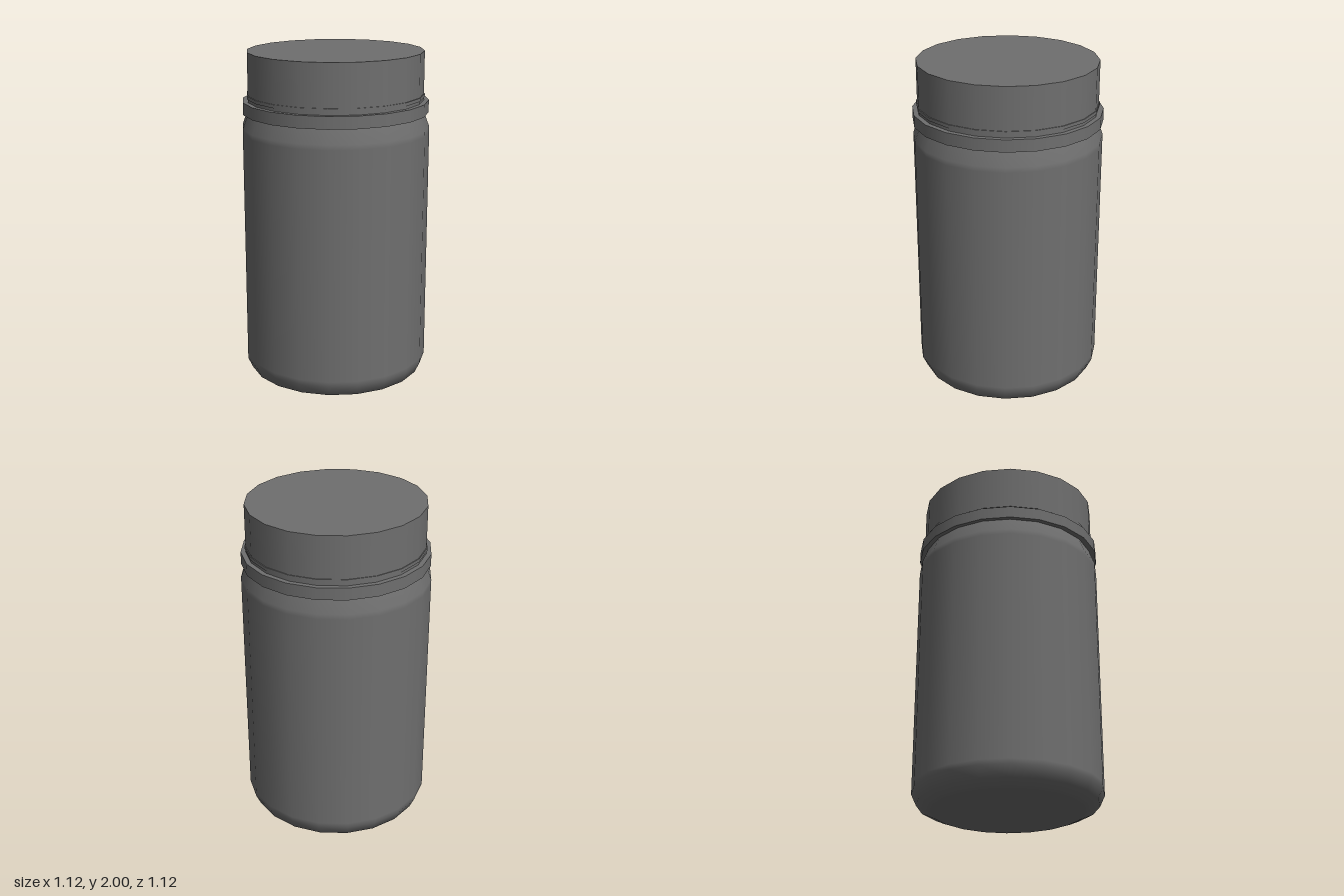
import * as THREE from 'three';

const SIDES = 20;

export function createModel() {
  const jar = new THREE.Group();
  jar.name = 'jar';
  const darkGrey = new THREE.MeshStandardMaterial({ color: 0x6f6f6f });

  const add = (name, geometry) => {
    const mesh = new THREE.Mesh(geometry, darkGrey);
    mesh.name = name;
    jar.add(mesh);
    return mesh;
  };

  // Closed band between two heights, slightly narrower across x than z
  const band = (name, rx, rz, y0, y1) => {
    const mesh = add(name, new THREE.CylinderGeometry(1, 1, y1 - y0, SIDES));
    mesh.scale.set(rx, 1, rz);
    mesh.position.y = (y0 + y1) / 2;
  };

  // Body with rounded base and sloping shoulder
  const profile = [
    [0, 0], [0.45, 0], [0.465, 0.006], [0.53, 0.035], [0.56, 0.1], [0.56, 0.13],
    [0.56, 1.52], [0.56, 1.55], [0.53, 1.63], [0.526, 1.65],
  ].map(([r, y]) => new THREE.Vector2(r, y));
  add('body', new THREE.LatheGeometry(profile, SIDES));

  // Neck flange, tamper ring and lid
  band('neckFlange', 0.553, 0.562, 1.637, 1.71);
  band('tamperRing', 0.528, 0.538, 1.728, 1.748);
  band('lid', 0.523, 0.533, 1.7, 2);

  return jar;
}
